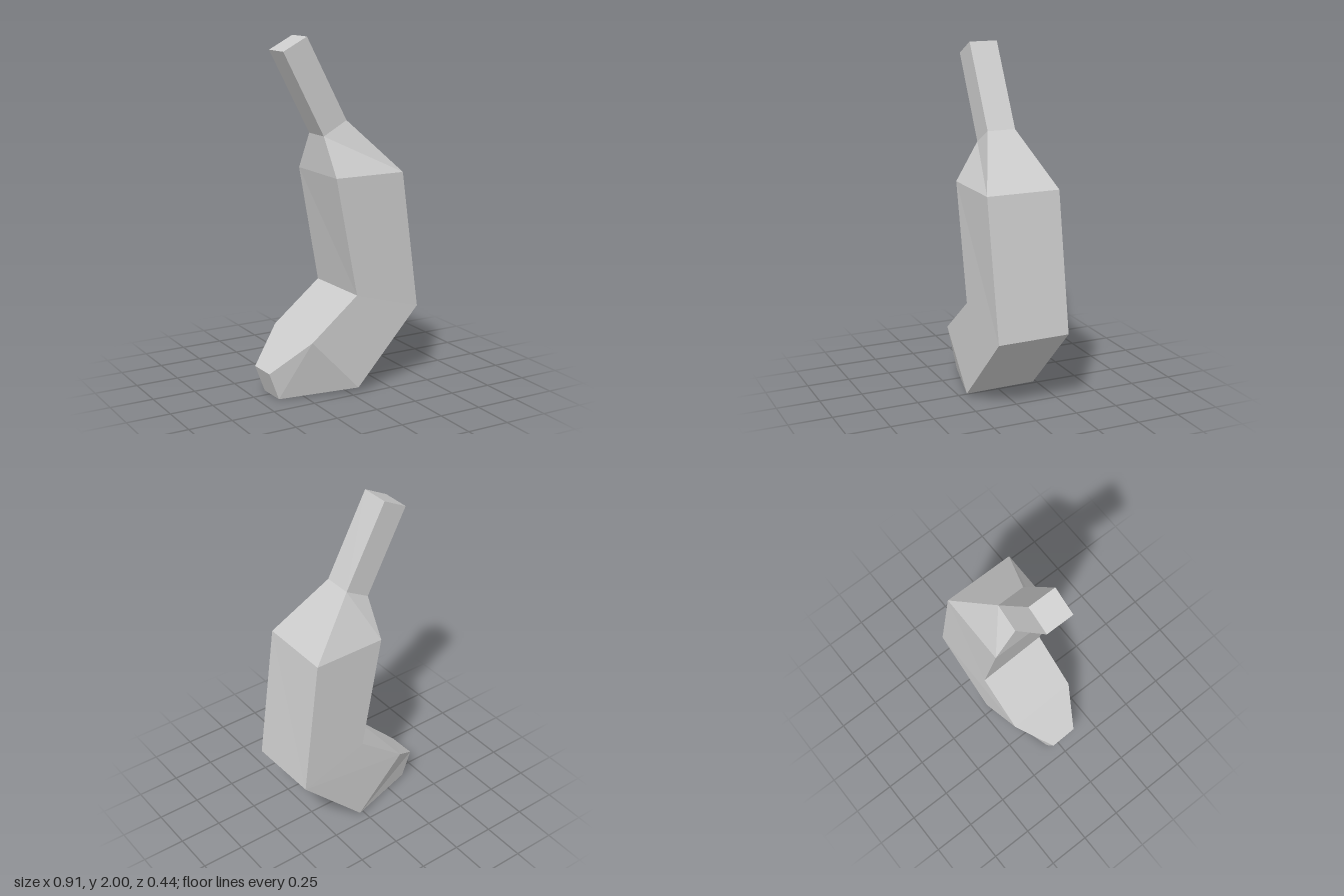
import * as THREE from 'three';

// Cross-sections from stem tip to blossom end:
// inner edge x, y; outer edge x, y; back z, front z; slight twist in x and z
const sections = [
  { inner: [-0.34, 1.925], outer: [-0.197, 2.0], back: -0.08, front: 0.085 },
  { inner: [-0.095, 1.457], outer: [0.048, 1.537], back: -0.08, front: 0.085 },
  { inner: [-0.09, 1.243], outer: [0.336, 1.243], back: -0.21, front: 0.216 },
  { inner: [0.038, 0.57], outer: [0.448, 0.45], back: -0.218, front: 0.207, twistX: 0.006, twistZ: 0.006 },
  { inner: [-0.249, 0.34], outer: [0.046, 0.03], back: -0.206, front: 0.219, twistX: 0.006, twistZ: -0.001 },
  { inner: [-0.453, 0.16], outer: [-0.395, 0.004], back: -0.066, front: 0.099, twistX: 0.003 },
];

// Corners in order: inner front, outer front, outer back, inner back
function ring({ inner, outer, back, front, twistX = 0, twistZ = 0 }) {
  return [
    [inner[0] + twistX, inner[1], front + twistZ],
    [outer[0] + twistX, outer[1], front - twistZ],
    [outer[0] - twistX, outer[1], back - twistZ],
    [inner[0] - twistX, inner[1], back + twistZ],
  ];
}

// Closed four-sided loft with flat faces
function loft(rings) {
  const positions = [];
  const quad = (a, b, c, d) => positions.push(...a, ...b, ...c, ...a, ...c, ...d);
  for (let i = 0; i < rings.length - 1; i++) {
    for (let j = 0; j < 4; j++) {
      const k = (j + 1) % 4;
      quad(rings[i][j], rings[i + 1][j], rings[i + 1][k], rings[i][k]);
    }
  }
  quad(...rings[0]);
  quad(...[...rings[rings.length - 1]].reverse());
  const geometry = new THREE.BufferGeometry();
  geometry.setAttribute('position', new THREE.Float32BufferAttribute(positions, 3));
  geometry.computeVertexNormals();
  return geometry;
}

export function createModel() {
  const group = new THREE.Group();
  group.name = 'banana';
  const material = new THREE.MeshStandardMaterial({ color: 0xcccccc, flatShading: true });

  // Stem, neck, bent body and tapered tip as one skin
  const fruit = new THREE.Mesh(loft(sections.map(ring)), material);
  fruit.name = 'bananaSkin';
  group.add(fruit);
  return group;
}
